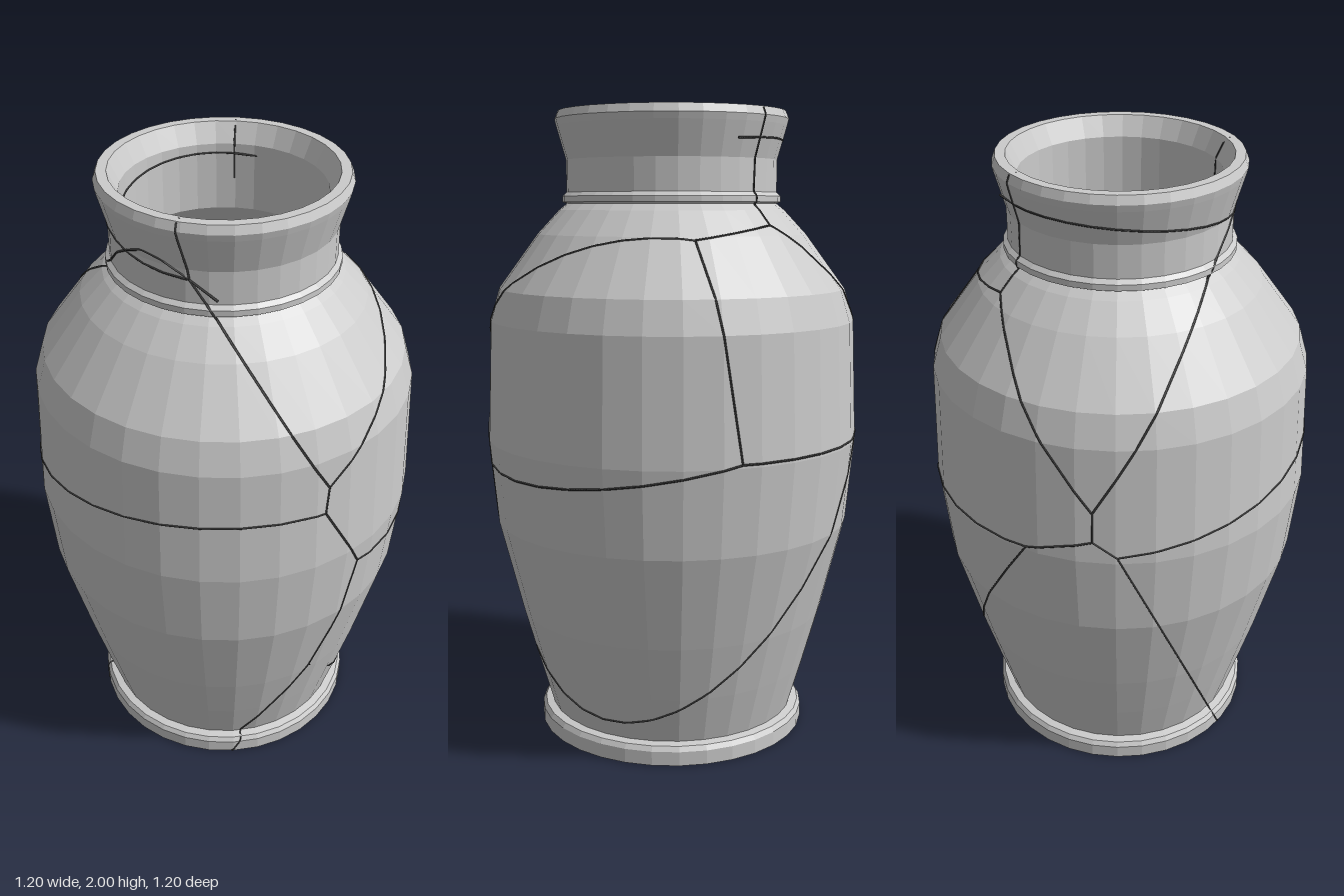
import * as THREE from 'three';

const SIDES = 32;

// Outer wall, foot to rim, as [radius, height]
const OUTER = [
  [0.44, 0], [0.44, 0.045], [0.43, 0.06], [0.405, 0.065], [0.45, 0.22], [0.5, 0.4],
  [0.575, 0.7], [0.6, 0.97], [0.585, 1.35], [0.555, 1.45], [0.43, 1.62], [0.36, 1.695],
  [0.335, 1.715], [0.348, 1.72], [0.348, 1.738], [0.335, 1.75], [0.335, 1.85],
  [0.365, 1.955], [0.37, 1.975], [0.36, 2],
];

// Inner wall, rim to floor
const INNER = [
  [0.33, 2], [0.3, 1.94], [0.3, 1.73], [0.38, 1.61], [0.53, 1.38],
  [0.555, 0.97], [0.455, 0.4], [0.37, 0.1], [0, 0.1],
];

// Places where cracks meet, as [degrees round from the front, height]
const MEET = {
  frontTop: [4, 1.25], frontMid: [3, 1.16], frontRight: [17, 0.9], frontLow: [7, 0.42],
  footFront: [-23, 0], footLeft: [-104, 0], sideTop: [107, 1.61], sideMid: [118, 0.98],
  shoulder: [145, 1.65], backTop: [196, 1.14], backMid: [196, 1.04], backLow: [203, 0.99],
  backRight: [176, 0.98], neckFront: [-43, 1.82], neckBack: [147, 1.91],
  rimFront: [-47, 1.975], rimBack: [147, 1.975],
};

// Flat breaks between two meeting places, with a third point where the break is tilted
const BREAKS = [
  ['frontTop', 'neckFront'],
  ['frontTop', 'sideTop', [29, 1.45]],
  ['frontTop', 'frontMid'],
  ['frontMid', 'backLow', [-75, 1.13]],
  ['frontMid', 'frontRight'],
  ['frontRight', 'sideMid', [65, 0.895]],
  ['frontRight', 'frontLow'],
  ['frontLow', 'footFront'],
  ['frontLow', 'backRight', [68, 0.12]],
  ['sideTop', 'sideMid'],
  ['sideTop', 'shoulder'],
  ['sideMid', 'backRight'],
  ['shoulder', 'backTop', [173, 1.46]],
  ['shoulder', 'rimBack'],
  ['backRight', 'backMid'],
  ['backTop', 'backMid'],
  ['backMid', 'backLow'],
  ['backLow', 'footLeft'],
  ['backTop', 'neckFront', [236, 1.65]],
  ['neckFront', 'rimFront'],
  ['neckBack', 'neckFront', [225, 1.885]],
];

const innerNeckRadius = () => 0.3;

function outerRadius(y) {
  for (let i = 1; i < OUTER.length; i++) {
    const [r0, y0] = OUTER[i - 1], [r1, y1] = OUTER[i];
    if (y <= y1) return r0 + (r1 - r0) * Math.max(0, (y - y0) / (y1 - y0));
  }
  return OUTER[OUTER.length - 1][0];
}

// How far the flat facet lies inside the round wall at this angle
function facetScale(angle) {
  const step = (2 * Math.PI) / SIDES;
  return Math.cos(step / 2) / Math.cos(THREE.MathUtils.euclideanModulo(angle, step) - step / 2);
}

function onWall([degrees, y], radiusAt) {
  const angle = THREE.MathUtils.degToRad(degrees);
  const r = radiusAt(y) * facetScale(angle);
  return new THREE.Vector3(Math.sin(angle) * r, y, Math.cos(angle) * r);
}

// Join points with straight runs in one thin tube
function hairline(points, material, name) {
  const path = new THREE.CurvePath();
  for (let i = 1; i < points.length; i++) path.add(new THREE.LineCurve3(points[i - 1], points[i]));
  const mesh = new THREE.Mesh(new THREE.TubeGeometry(path, points.length * 2, 0.0035, 4), material);
  mesh.name = name;
  return mesh;
}

// Follow the line where a flat break cuts through the wall
function breakLine([from, to, via], radiusAt) {
  const start = onWall(MEET[from], radiusAt);
  const end = onWall(MEET[to], radiusAt);
  const chord = end.clone().sub(start).normalize();
  const middle = start.clone().lerp(end, 0.5);
  // Direction across the break, square to its chord and pointing out of the body
  const out = via ? onWall(via, radiusAt).sub(middle) : new THREE.Vector3(middle.x, 0, middle.z);
  out.addScaledVector(chord, -out.dot(chord)).normalize();

  const points = [start];
  for (let i = 1; i < 60; i++) {
    const base = start.clone().lerp(end, (1 - Math.cos((Math.PI * i) / 60)) / 2);
    const point = new THREE.Vector3();
    let inside = -0.1, outside = 0.9;
    for (let k = 0; k < 24; k++) {
      const s = (inside + outside) / 2;
      point.copy(base).addScaledVector(out, s);
      const wall = radiusAt(point.y) * facetScale(Math.atan2(point.x, point.z));
      if (Math.hypot(point.x, point.z) < wall) inside = s;
      else outside = s;
    }
    points.push(point);
  }
  points.push(end);
  return points;
}

export function createModel() {
  const model = new THREE.Group();
  model.name = 'crackedVase';
  const clay = new THREE.MeshStandardMaterial({ color: 0xcccccc, flatShading: true });
  const dark = new THREE.MeshStandardMaterial({ color: 0x3a3a3a });

  // Hollow body with foot, neck ring and flared rim
  const profile = [[0, 0], ...OUTER, ...INNER].map(([r, y]) => new THREE.Vector2(r, y));
  const body = new THREE.Mesh(new THREE.LatheGeometry(profile, SIDES), clay);
  body.name = 'vaseBody';
  model.add(body);

  const cracks = new THREE.Group();
  cracks.name = 'cracks';
  model.add(cracks);

  // Cracks over the outside
  for (const item of BREAKS) cracks.add(hairline(breakLine(item, outerRadius), dark, 'wallCrack'));

  // The neck break again on the inner wall
  const neckBreak = BREAKS[BREAKS.length - 1];
  cracks.add(hairline(breakLine(neckBreak, innerNeckRadius), dark, 'innerNeckCrack'));

  // Cracks across the rim and down the inner neck
  for (const place of ['rimFront', 'rimBack']) {
    const section = [[0.37, 1.975], [0.36, 1.998], [0.33, 1.998], [0.3, 1.94], [0.3, 1.83]];
    const points = section.map(([r, y]) => onWall([MEET[place][0], y], () => r));
    cracks.add(hairline(points, dark, 'rimCrack'));
  }

  // Crack across the underside
  const footEnds = [MEET.footFront, MEET.footLeft].map(([a]) => onWall([a, 0.003], outerRadius));
  cracks.add(hairline(footEnds, dark, 'baseCrack'));

  return model;
}
